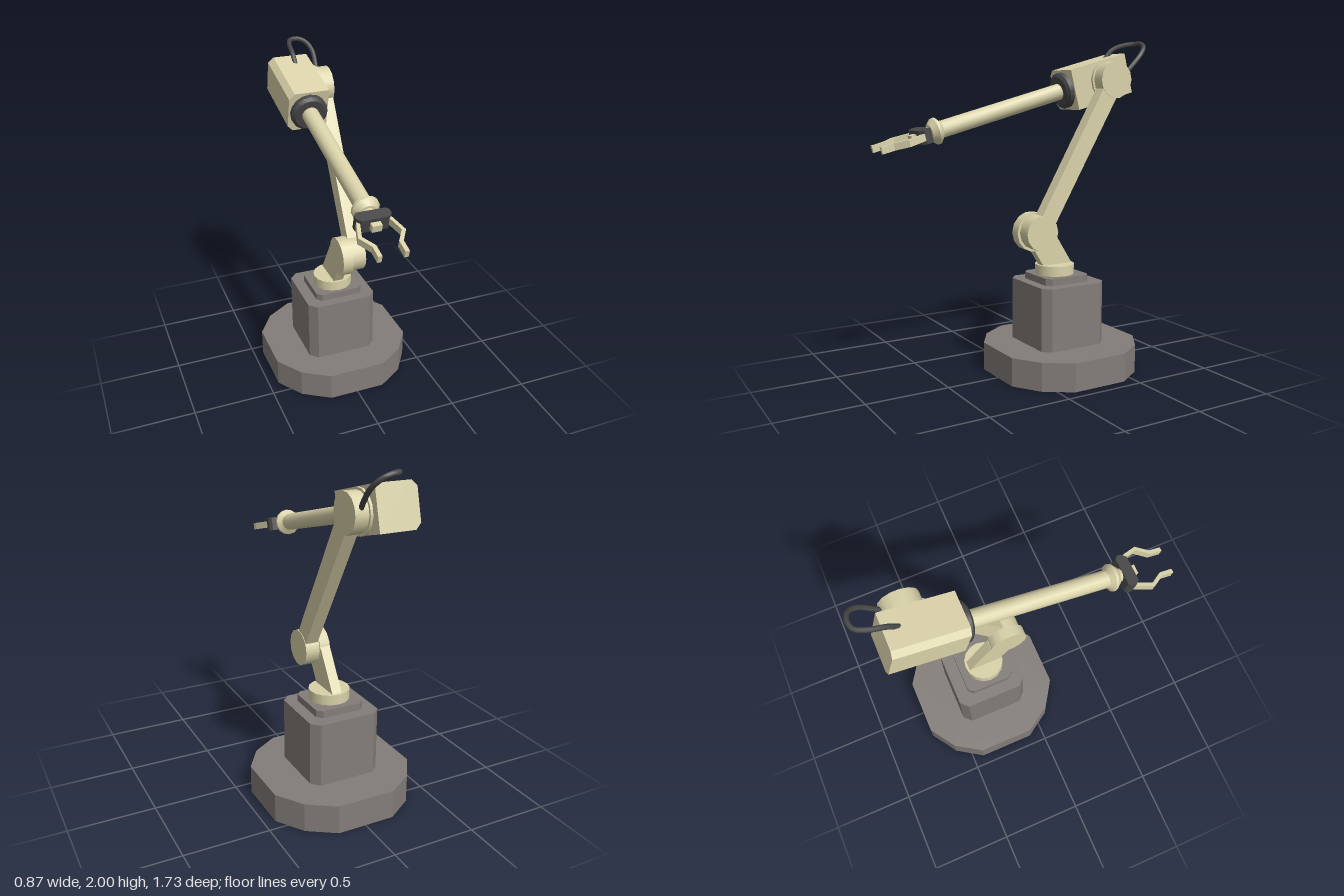
import * as THREE from 'three';
import { toCreasedNormals } from 'three/addons/utils/BufferGeometryUtils.js';

const material = (name, color, side = THREE.FrontSide) => {
  const m = new THREE.MeshStandardMaterial({ color, side });
  m.name = name;
  return m;
};

export function createModel() {
  const cream = material('cream paint', 0xd9d2a9);
  const grey = material('grey metal', 0x837d79, THREE.DoubleSide);
  const dark = material('dark rubber', 0x484848);
  const model = new THREE.Group();
  model.name = 'robotArm';

  const add = (name, geometry, mat, parent = model) => {
    const mesh = new THREE.Mesh(geometry, mat);
    mesh.name = name;
    parent.add(mesh);
    return mesh;
  };
  const toShape = (pts) => new THREE.Shape(pts.map(([a, b]) => new THREE.Vector2(a, b)));
  const extrude = (pts, depth) => new THREE.ExtrudeGeometry(toShape(pts), { depth, bevelEnabled: false });

  // Square outline with cut corners, anticlockwise
  const cutSquare = (h, c) => [[h, -h + c], [h, h - c], [h - c, h], [-h + c, h],
    [-h, h - c], [-h, -h + c], [-h + c, -h], [h - c, -h]];

  // Open flat-faced wall standing on an outline
  const wall = (pts, y0, y1) => {
    const v = [];
    pts.forEach(([ax, az], i) => {
      const [bx, bz] = pts[(i + 1) % pts.length];
      v.push(ax, y0, -az, bx, y0, -bz, bx, y1, -bz, ax, y0, -az, bx, y1, -bz, ax, y1, -az);
    });
    const g = new THREE.BufferGeometry();
    g.setAttribute('position', new THREE.Float32BufferAttribute(v, 3));
    g.computeVertexNormals();
    return g;
  };
  // Upward cap over an outline, optionally with a hole
  const cap = (pts, y, hole) => {
    const s = toShape(pts);
    if (hole) s.holes.push(toShape(hole));
    return new THREE.ShapeGeometry(s).rotateX(-Math.PI / 2).translate(0, y, 0);
  };
  // Plate cut in the side plane from [z, y] points, spanning x0..x1
  const sidePlate = (pts, x0, x1) => extrude(pts, x1 - x0).rotateY(-Math.PI / 2).translate(x1, 0, 0);
  // Plate cut in the horizontal plane from [x, z] points
  const flatPlate = (pts, h) => extrude(pts, h).translate(0, 0, -h / 2).rotateX(Math.PI / 2);
  // Disc whose axle lies along x
  const disc = (r, x0, x1, y, z) => new THREE.CylinderGeometry(r, r, x1 - x0, 14)
    .rotateZ(Math.PI / 2).translate((x0 + x1) / 2, y, z);
  // Turned part along z from [radius, z] points
  const turned = (pts, n) => toCreasedNormals(
    new THREE.LatheGeometry(pts.map(([r, t]) => new THREE.Vector2(r, t)), n).rotateX(Math.PI / 2), 0.6);

  // Pedestal: hollow twelve-sided foot and hollow column
  const foot = [];
  for (let q = 0; q < 4; q++) {
    for (const deg of [21.5, 45, 68.5]) {
      const a = THREE.MathUtils.degToRad(deg + 90 * q);
      foot.push([0.47 * Math.cos(a), 0.47 * Math.sin(a)]);
    }
  }
  const column = cutSquare(0.217, 0.046);
  const step = cutSquare(0.149, 0.03);
  const pedestal = new THREE.Group();
  pedestal.name = 'pedestal';
  pedestal.position.set(-0.003, 0, -0.26);
  model.add(pedestal);
  add('footWall', wall(foot, 0, 0.17), grey, pedestal);
  const columnHole = column.map(([x, z]) => [x - 0.008, z - 0.014]);
  add('footTop', cap(foot, 0.17, columnHole), grey, pedestal);
  add('columnWall', wall(columnHole, 0.17, 0.55), grey, pedestal);
  add('columnTop', cap(columnHole, 0.55), grey, pedestal);
  for (const [name, g] of [['stepWall', wall(step, 0.55, 0.592)], ['stepTop', cap(step, 0.592)]]) {
    add(name, g.translate(-0.008, 0, 0.022), grey, pedestal);
  }

  // Turntable and lower bracket
  add('turntable', new THREE.CylinderGeometry(0.12, 0.12, 0.062, 16).translate(-0.012, 0.621, -0.228), cream);
  add('bracketDisc', disc(0.118, -0.042, 0.022, 0.862, -0.066), cream);
  add('bracketLeg', sidePlate([[-0.135, 0.64], [-0.338, 0.64], [-0.18, 0.89], [-0.06, 0.86], [-0.05, 0.775]],
    -0.04, 0.02), cream);

  // Upper arm: bar between two round joints
  const [z0, y0, z1, y1] = [-0.07, 0.865, -0.59, 1.76];
  const across = (z, y, h) => [z + 0.865 * h, y + 0.502 * h];
  add('elbowLower', disc(0.106, 0.02, 0.108, y0, z0), cream);
  add('elbowUpper', disc(0.111, 0.022, 0.108, y1, z1), cream);
  add('upperArm', sidePlate([across(z0, y0, 0.052), across(z1, y1, 0.056),
    across(z1, y1, -0.056), across(z0, y0, -0.052)], 0.028, 0.105), cream);
  add('headPivot', disc(0.124, 0.005, 0.03, y1, z1), cream);

  // Forearm assembly, tilted down along its own z axis
  const forearm = new THREE.Group();
  forearm.name = 'forearm';
  forearm.position.set(-0.105, 1.751, -0.549);
  forearm.rotation.x = THREE.MathUtils.degToRad(15);
  model.add(forearm);
  add('motorHousing', extrude([[0.12, -0.123], [0.12, 0.123], [-0.088, 0.123], [-0.12, 0.09],
    [-0.12, -0.09], [-0.088, -0.123]], 0.41).translate(0, 0, -0.205), cream, forearm);
  add('collar', turned([[0, 0.2], [0.11, 0.2], [0.11, 0.232], [0.092, 0.247], [0, 0.247]], 16), dark, forearm);
  add('forearmTube', turned([[0.05, 0.24], [0.05, 1.065], [0.077, 1.088], [0.077, 1.103],
    [0.05, 1.135], [0.038, 1.137], [0.038, 1.17]], 14), cream, forearm);

  // Gripper
  add('gripperPlate', flatPlate([[-0.08, 1.155], [0.08, 1.155], [0.096, 1.172], [0.096, 1.2],
    [0.074, 1.224], [-0.074, 1.224], [-0.096, 1.2], [-0.096, 1.172]], 0.08), dark, forearm);
  add('gripperStub', new THREE.BoxGeometry(0.054, 0.04, 0.05).translate(0, 0, 1.23), cream, forearm);
  for (const s of [-1, 1]) {
    const outline = [[0.094, 1.2], [0.128, 1.312], [0.083, 1.385], [0.083, 1.458],
      [0.06, 1.458], [0.06, 1.38], [0.106, 1.308], [0.074, 1.2]];
    add(s < 0 ? 'rightFinger' : 'leftFinger', flatPlate(outline.map(([x, t]) => [s * x, t]), 0.04), cream, forearm);
  }

  // Cable looping from the housing to the upper joint
  const path = new THREE.CatmullRomCurve3([
    [-0.08, 1.89, -0.635], [-0.08, 1.945, -0.69], [-0.073, 1.975, -0.77], [-0.045, 1.985, -0.835],
    [0.01, 1.983, -0.848], [0.055, 1.96, -0.832], [0.08, 1.915, -0.79], [0.078, 1.855, -0.735],
    [0.068, 1.8, -0.685],
  ].map((p) => new THREE.Vector3(...p)));
  add('cable', new THREE.TubeGeometry(path, 24, 0.0145, 7), dark);

  return model;
}
